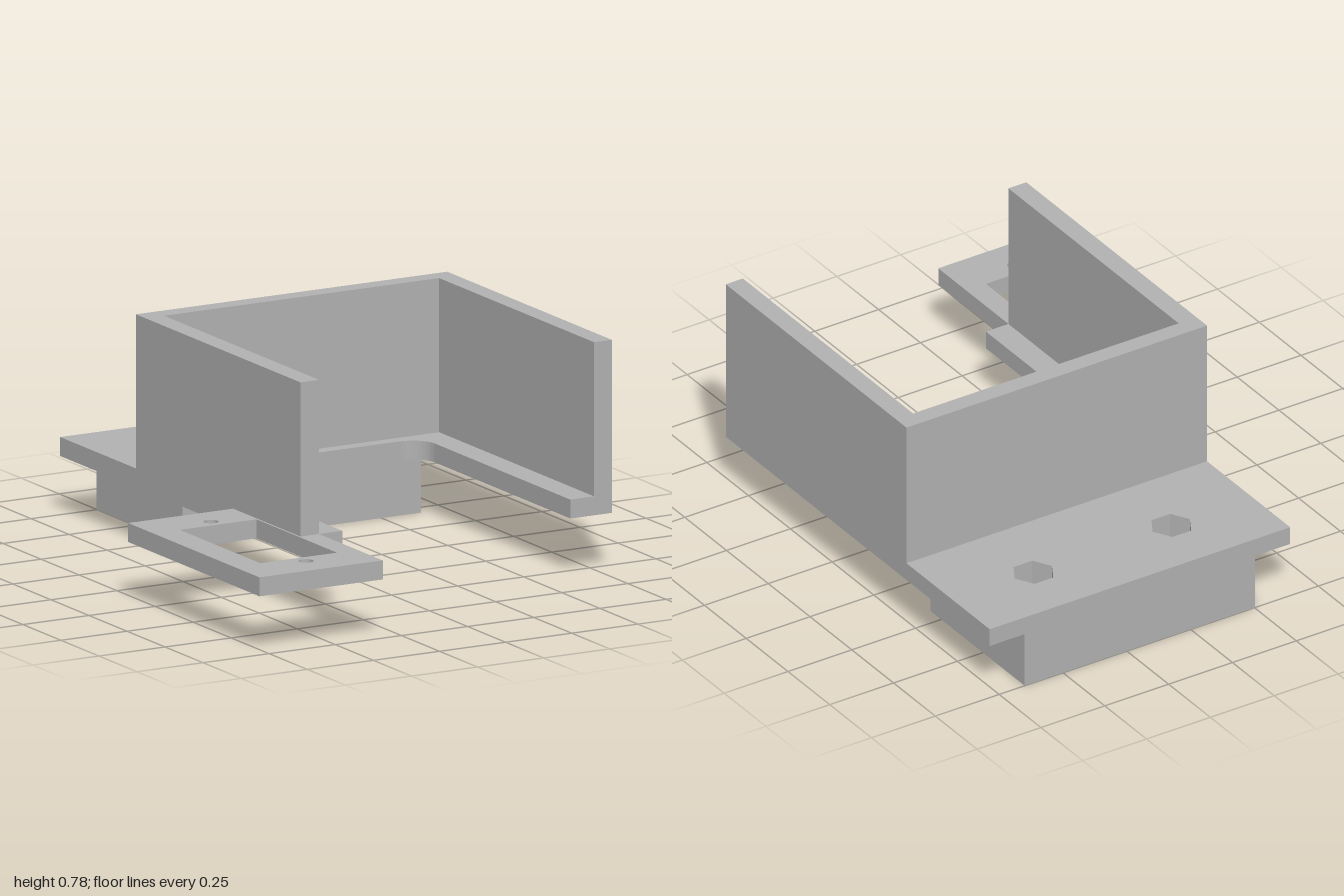
import * as THREE from 'three';
import { toCreasedNormals } from 'three/addons/utils/BufferGeometryUtils.js';

// Closed outline from [x, z] points
const outline = (pts, Type = THREE.Shape) => {
  const s = new Type();
  pts.forEach(([x, z], i) => (i ? s.lineTo(x, z) : s.moveTo(x, z)));
  s.closePath();
  return s;
};
const rect = (x0, z0, x1, z1, Type) => outline([[x0, z0], [x1, z0], [x1, z1], [x0, z1]], Type);
const circle = (x, z, r) => {
  const p = new THREE.Path();
  p.absarc(x, z, r, 0, Math.PI * 2);
  return p;
};
const hexagon = (x, z, r) => outline(
  Array.from({ length: 6 }, (_, i) => [x + r * Math.cos(i * Math.PI / 3), z + r * Math.sin(i * Math.PI / 3)]),
  THREE.Path
);

export function createModel() {
  const group = new THREE.Group();
  const grey = new THREE.MeshStandardMaterial({ color: 0xb2b2b2 });
  grey.name = 'grey plastic';

  // Extrude a plan outline between two heights
  const addSlab = (name, shape, holes, y0, y1) => {
    shape.holes.push(...holes);
    const geo = new THREE.ExtrudeGeometry(shape, { depth: y1 - y0, bevelEnabled: false, curveSegments: 16 });
    geo.rotateX(Math.PI / 2).translate(0, y1, 0);
    const mesh = new THREE.Mesh(toCreasedNormals(geo, 0.6), grey);
    mesh.name = name;
    group.add(mesh);
  };

  const left = -0.39, right = 0.787, front = 0.58;
  const boltX = [-0.07, 0.47], boltZ = -0.777;
  const nutPockets = () => boltX.map(x => hexagon(x, boltZ, 0.073));

  // Base plate: rear flange, two legs with a rounded bay, and the side frame
  const r = 0.085, bayL = -0.232, bayR = 0.63, bayZ = -0.393;
  const plate = new THREE.Shape();
  plate.moveTo(left, -1);
  plate.lineTo(right, -1);
  plate.lineTo(right, front);
  plate.lineTo(bayR, front);
  plate.lineTo(bayR, bayZ + r);
  plate.absarc(bayR - r, bayZ + r, r, 0, -Math.PI / 2, true);
  plate.lineTo(bayL + r, bayZ);
  plate.absarc(bayL + r, bayZ + r, r, -Math.PI / 2, -Math.PI, true);
  plate.lineTo(bayL, front);
  plate.lineTo(-0.32, front);
  plate.lineTo(-0.32, 1);
  plate.lineTo(-0.787, 1);
  plate.lineTo(-0.787, 0.137);
  plate.lineTo(left, 0.137);
  plate.closePath();
  addSlab('basePlate', plate, [
    ...nutPockets(),
    rect(-0.687, 0.303, -0.397, 0.832, THREE.Path),
    circle(-0.542, 0.255, 0.025),
    circle(-0.542, 0.88, 0.025),
  ], 0.198, 0.262);

  // Three-sided wall
  addSlab('wall', outline([
    [left, -0.502], [right, -0.502], [right, front], [0.72, front],
    [0.72, -0.439], [-0.32, -0.439], [-0.32, front], [left, front],
  ]), [], 0.262, 0.782);

  // Mounting block: hexagonal nut pockets above round bolt holes
  const block = () => rect(-0.252, -1, 0.65, -0.435);
  addSlab('mountBlockUpper', block(), nutPockets(), 0.1, 0.198);
  addSlab('mountBlockLower', block(), boltX.map(x => circle(x, boltZ, 0.04)), 0, 0.1);

  return group;
}
